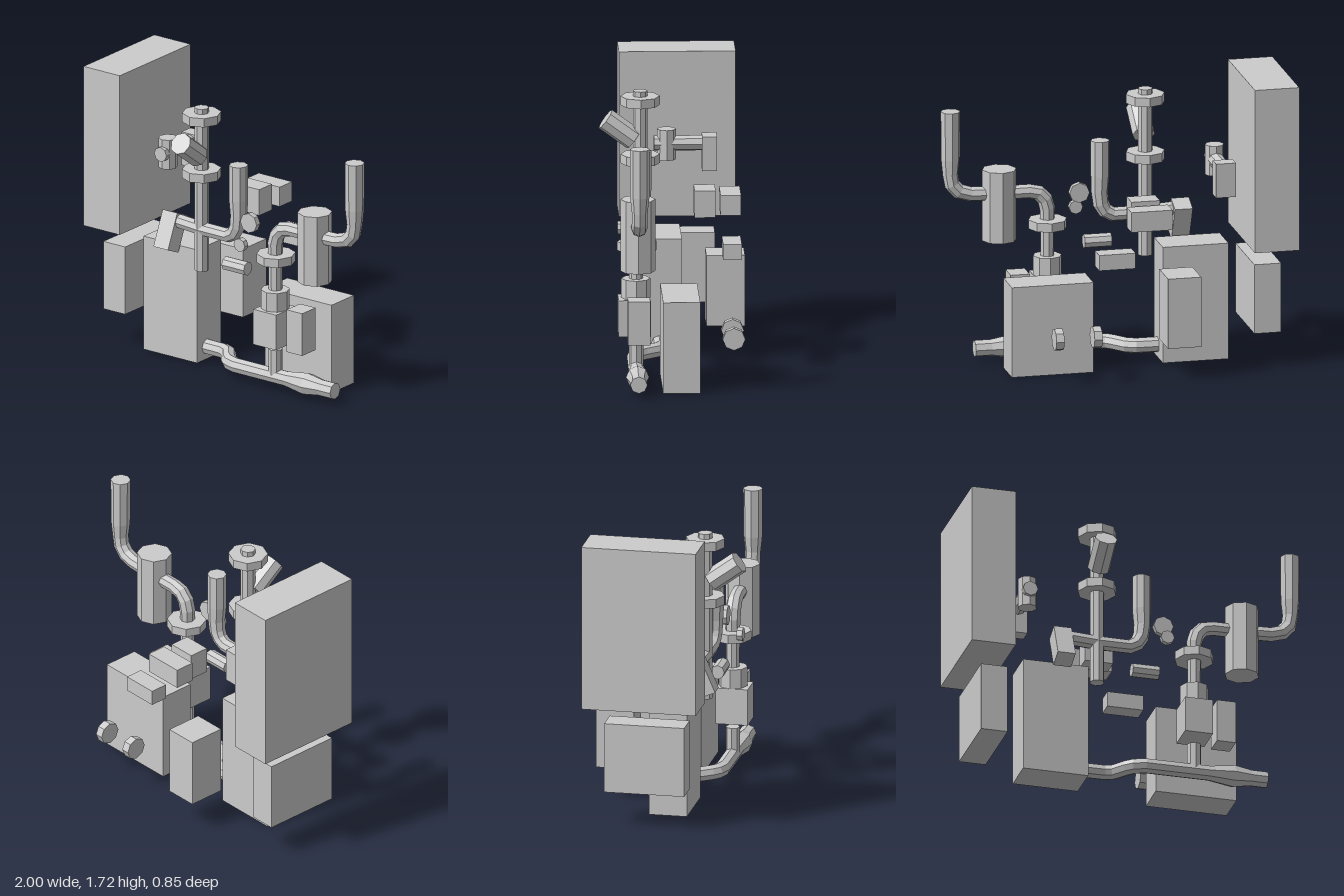
import * as THREE from 'three';

const SIDES = 8;

export function createModel() {
  const model = new THREE.Group();
  const material = new THREE.MeshStandardMaterial({ color: 0xcccccc, flatShading: true });

  function add(name, geometry, x = 0, y = 0, z = 0) {
    const mesh = new THREE.Mesh(geometry, material);
    mesh.name = name;
    mesh.position.set(x, y, z);
    model.add(mesh);
    return mesh;
  }

  // Box given by its extents along each axis
  function box(name, [x0, x1], [y0, y1], [z0, z1]) {
    return add(name, new THREE.BoxGeometry(x1 - x0, y1 - y0, z1 - z0),
      (x0 + x1) / 2, (y0 + y1) / 2, (z0 + z1) / 2);
  }

  // Octagonal cylinder between two points
  function rod(name, from, to, r) {
    const a = new THREE.Vector3(...from), b = new THREE.Vector3(...to);
    const dir = b.clone().sub(a);
    const mesh = add(name, new THREE.CylinderGeometry(r, r, dir.length(), SIDES));
    mesh.position.copy(a).add(b).multiplyScalar(0.5);
    mesh.quaternion.setFromUnitVectors(new THREE.Vector3(0, 1, 0), dir.normalize());
    return mesh;
  }

  // Capped octagonal pipe through [x, y, z, radius] stations of a flat path;
  // ref is the normal of the plane the path lies in
  function pipe(name, stations, ref) {
    const pts = stations.map(s => new THREE.Vector3(s[0], s[1], s[2]));
    const n = pts.length, pos = [], index = [];
    pts.forEach((p, i) => {
      const t = new THREE.Vector3();
      if (i > 0) t.add(p.clone().sub(pts[i - 1]).normalize());
      if (i < n - 1) t.add(pts[i + 1].clone().sub(p).normalize());
      const side = t.normalize().clone().cross(ref);
      for (let j = 0; j < SIDES; j++) {
        const a = (j / SIDES) * Math.PI * 2;
        const v = p.clone().addScaledVector(ref, Math.cos(a) * stations[i][3])
          .addScaledVector(side, Math.sin(a) * stations[i][3]);
        pos.push(v.x, v.y, v.z);
      }
    });
    pos.push(...pts[0].toArray(), ...pts[n - 1].toArray());
    const last = (n - 1) * SIDES;
    for (let j = 0; j < SIDES; j++) {
      const k = (j + 1) % SIDES;
      for (let i = 0; i < n - 1; i++) {
        const a = i * SIDES + j, b = i * SIDES + k;
        index.push(a, b, a + SIDES, b, b + SIDES, a + SIDES);
      }
      index.push(n * SIDES, k, j, n * SIDES + 1, last + j, last + k);
    }
    const g = new THREE.BufferGeometry();
    g.setAttribute('position', new THREE.Float32BufferAttribute(pos, 3));
    g.setIndex(index);
    g.computeVertexNormals();
    return add(name, g);
  }

  const Z = new THREE.Vector3(0, 0, 1), Y = new THREE.Vector3(0, 1, 0);

  // Cabinets
  box('tallCabinet', [-1, -0.735], [0.735, 1.72], [-0.39, 0.29]);
  box('lowSideCabinet', [-0.92, -0.76], [0.213, 0.63], [-0.27, 0.205]);
  box('centralCabinet', [-0.655, -0.262], [0.01, 0.71], [-0.06, 0.167]);
  box('rearCabinet', [-0.405, -0.207], [0.2, 0.622], [-0.425, -0.2]);
  box('rightCabinet', [0.17, 0.658], [0.003, 0.546], [-0.133, 0.083]);

  // Small control boxes
  box('upperControlBox', [-0.2, -0.03], [0.89, 1.05], [-0.248, -0.125]);
  box('rearControlBox', [-0.24, 0.005], [0.91, 1.03], [-0.395, -0.275]);
  box('lowerControlBox', [-0.02, 0.197], [0.69, 0.783], [-0.392, -0.283]);

  // Rear hand wheels
  for (const x of [0.202, 0.43]) rod('rearWheel', [x - 0.024, 0.275, -0.337], [x + 0.024, 0.275, -0.337], 0.066);

  // Side valve with its mounting box
  box('valveMount', [-0.648, -0.53], [1.05, 1.255], [-0.275, -0.188]);
  rod('valveStem', [-0.589, 1.207, -0.2], [-0.589, 1.207, 0.092], 0.045);
  rod('valveBody', [-0.589, 1.112, 0.018], [-0.589, 1.293, 0.018], 0.056);

  // Central riser with flanges and angled branch
  rod('riser', [-0.215, 0.604, 0.185], [-0.215, 1.61, 0.185], 0.043);
  for (const y of [1.205, 1.552]) rod('riserFlange', [-0.215, y - 0.027, 0.185], [-0.215, y + 0.027, 0.185], 0.115);
  rod('angledBranch', [-0.215, 1.32, 0.222], [-0.215, 1.442, 0.387], 0.067);

  // Cross pipe turning upward
  pipe('crossPipe', [
    [-0.375, 0.87, 0.185, 0.043], [-0.21, 0.86, 0.185, 0.043], [-0.02, 0.86, 0.185, 0.043],
    [0.025, 0.885, 0.185, 0.045], [0.05, 0.93, 0.185, 0.048], [0.058, 1.0, 0.185, 0.05],
    [0.055, 1.1, 0.185, 0.056], [0.055, 1.312, 0.185, 0.056],
  ], Z);
  const tilted = box('tiltedValveBox', [-0.482, -0.375], [0.69, 0.914], [0.15, 0.258]);
  tilted.rotation.x = -0.41;

  // Gauges and sight tube
  rod('largeGauge', [0.172, 0.993, 0.208], [0.172, 0.993, 0.243], 0.06);
  rod('smallGauge', [0.172, 0.882, 0.298], [0.172, 0.882, 0.332], 0.041);
  rod('sightTube', [-0.015, 0.698, 0.215], [0.147, 0.698, 0.215], 0.042);

  // Floor pipe with an offset bend and a swollen fitting
  pipe('floorPipe', [
    [-0.262, 0.087, 0.073, 0.046], [-0.135, 0.087, 0.075, 0.046], [-0.085, 0.087, 0.097, 0.046],
    [-0.025, 0.087, 0.175, 0.046], [0.01, 0.087, 0.207, 0.046], [0.07, 0.087, 0.228, 0.046],
    [0.45, 0.087, 0.23, 0.046], [0.595, 0.087, 0.23, 0.068], [0.7, 0.087, 0.23, 0.05],
    [0.797, 0.087, 0.23, 0.05],
  ], Y);
  rod('floorRiser', [0.36, 0.087, 0.23], [0.36, 0.256, 0.23], 0.042);

  // Pump and its stack
  box('pumpBody', [0.277, 0.445], [0.293, 0.51], [0.145, 0.335]);
  box('pumpSideBox', [0.483, 0.597], [0.277, 0.538], [0.155, 0.285]);
  rod('pumpUnion', [0.36, 0.51, 0.232], [0.36, 0.625, 0.232], 0.085);
  rod('pumpFlange', [0.36, 0.793, 0.225], [0.36, 0.846, 0.225], 0.115);
  pipe('pumpPipe', [
    [0.36, 0.62, 0.23, 0.04], [0.36, 0.84, 0.23, 0.042], [0.36, 0.91, 0.23, 0.046],
    [0.375, 0.965, 0.23, 0.046], [0.412, 1.005, 0.23, 0.045], [0.47, 1.018, 0.23, 0.043],
    [0.6, 1.018, 0.23, 0.043],
  ], Z);

  // Tank and outlet pipe
  rod('tank', [0.648, 0.737, 0.23], [0.648, 1.165, 0.23], 0.102);
  pipe('outletPipe', [
    [0.7, 1.02, 0.23, 0.044], [0.82, 1.024, 0.23, 0.044], [0.89, 1.045, 0.23, 0.046],
    [0.93, 1.09, 0.23, 0.046], [0.94, 1.15, 0.23, 0.046], [0.94, 1.245, 0.23, 0.056],
    [0.94, 1.532, 0.23, 0.058],
  ], Z);

  return model;
}
